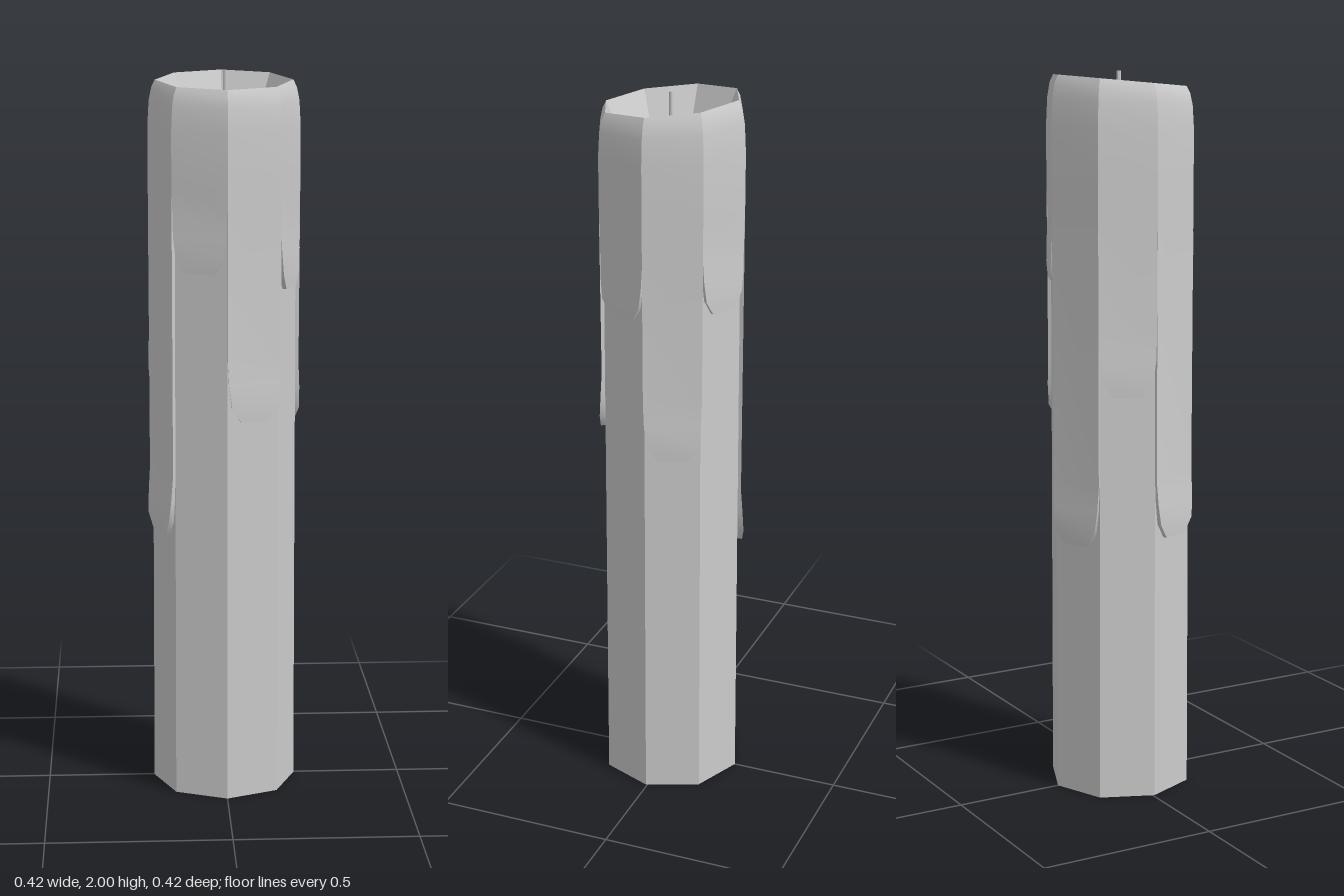
import * as THREE from 'three';
import { toCreasedNormals } from 'three/addons/utils/BufferGeometryUtils.js';

const SIDES = 8;
const STEP = (Math.PI * 2) / SIDES;
const TILT = 0.1; // the burnt rim is lower at the front
const CREASE = 0.5;

// Height of each drip's lower end, counted round from the front towards +x
const DRIP_ENDS = [1.07, 1.42, 1.03, 1.44, 0.72, 1.14, 0.74, 1.47];

// A drip covers one side of the candle: rim, rounded shoulder, then a rounded tongue
function dripGeometry(side, end) {
  const bulge = 0.005 + 0.008 * (1.85 - end);
  // [height, corner radius, share of the side's width, share of the rim tilt]
  const rows = [
    [1.975, 0.187, 1, 1],
    [1.955, 0.197, 1, 0.9],
    [1.92, 0.204, 1, 0.6],
    [1.85, 0.208, 1, 0.2],
    [1.70, 0.208, 1, 0],
    [end + 0.17, 0.203 + bulge * 0.3, 1, 0],
    [end + 0.10, 0.203 + bulge * 0.7, 0.95, 0],
    [end + 0.04, 0.203 + bulge, 0.84, 0],
    [end, 0.203 + bulge * 0.8, 0.5, 0],
  ];
  const angle = (side + 0.5) * STEP;
  const positions = [];
  const index = [];

  for (const [y, radius, width, tilt] of rows) {
    const inner = Math.min(0.19, radius);
    for (const [r, u] of [[radius, -1], [radius, 1], [inner, 1], [inner, -1]]) {
      const out = r * Math.cos(STEP / 2);
      const across = r * Math.sin(STEP / 2) * width * u;
      const x = out * Math.sin(angle) + across * Math.cos(angle);
      const z = out * Math.cos(angle) - across * Math.sin(angle);
      positions.push(x, y - TILT * tilt * z, z);
    }
  }
  for (let i = 0; i < rows.length - 1; i++) {
    for (const k of [0, 1, 3]) { // outer face and both edges
      const a = i * 4 + k;
      const b = i * 4 + ((k + 1) % 4);
      index.push(a, a + 4, b + 4, a, b + 4, b);
    }
  }
  const e = (rows.length - 1) * 4; // underside of the tongue
  index.push(e, e + 2, e + 1, e, e + 3, e + 2);

  const geometry = new THREE.BufferGeometry();
  geometry.setAttribute('position', new THREE.Float32BufferAttribute(positions, 3));
  geometry.setIndex(index);
  return toCreasedNormals(geometry, CREASE);
}

// Sloping inner wall and floor of the melted hollow
function hollowGeometry() {
  const profile = [[0.187, 1.975], [0.148, 1.89], [0, 1.89]].map(([x, y]) => new THREE.Vector2(x, y));
  const geometry = new THREE.LatheGeometry(profile, SIDES);
  const p = geometry.attributes.position;
  for (let i = 0; i < p.count; i++) p.setY(i, p.getY(i) - TILT * p.getZ(i));
  return toCreasedNormals(geometry, CREASE);
}

export function createModel() {
  const candle = new THREE.Group();
  candle.name = 'candle';
  const wax = new THREE.MeshStandardMaterial({ color: 0xcccccc });

  const add = (name, geometry, parent = candle) => {
    const mesh = new THREE.Mesh(geometry, wax);
    mesh.name = name;
    parent.add(mesh);
    return mesh;
  };

  // Eight-sided shaft
  const shaft = new THREE.CylinderGeometry(0.195, 0.2, 1.85, SIDES);
  add('shaft', toCreasedNormals(shaft, CREASE)).position.y = 0.925;

  // Melted wax running down every side
  const drips = new THREE.Group();
  drips.name = 'drips';
  candle.add(drips);
  DRIP_ENDS.forEach((end, side) => add(`drip${side + 1}`, dripGeometry(side, end), drips));

  add('hollow', hollowGeometry());

  // Wick
  const wick = new THREE.CylinderGeometry(0.006, 0.007, 0.13, SIDES);
  add('wick', toCreasedNormals(wick, CREASE)).position.set(0.003, 1.935, 0);

  candle.position.z = 0.004;
  return candle;
}
